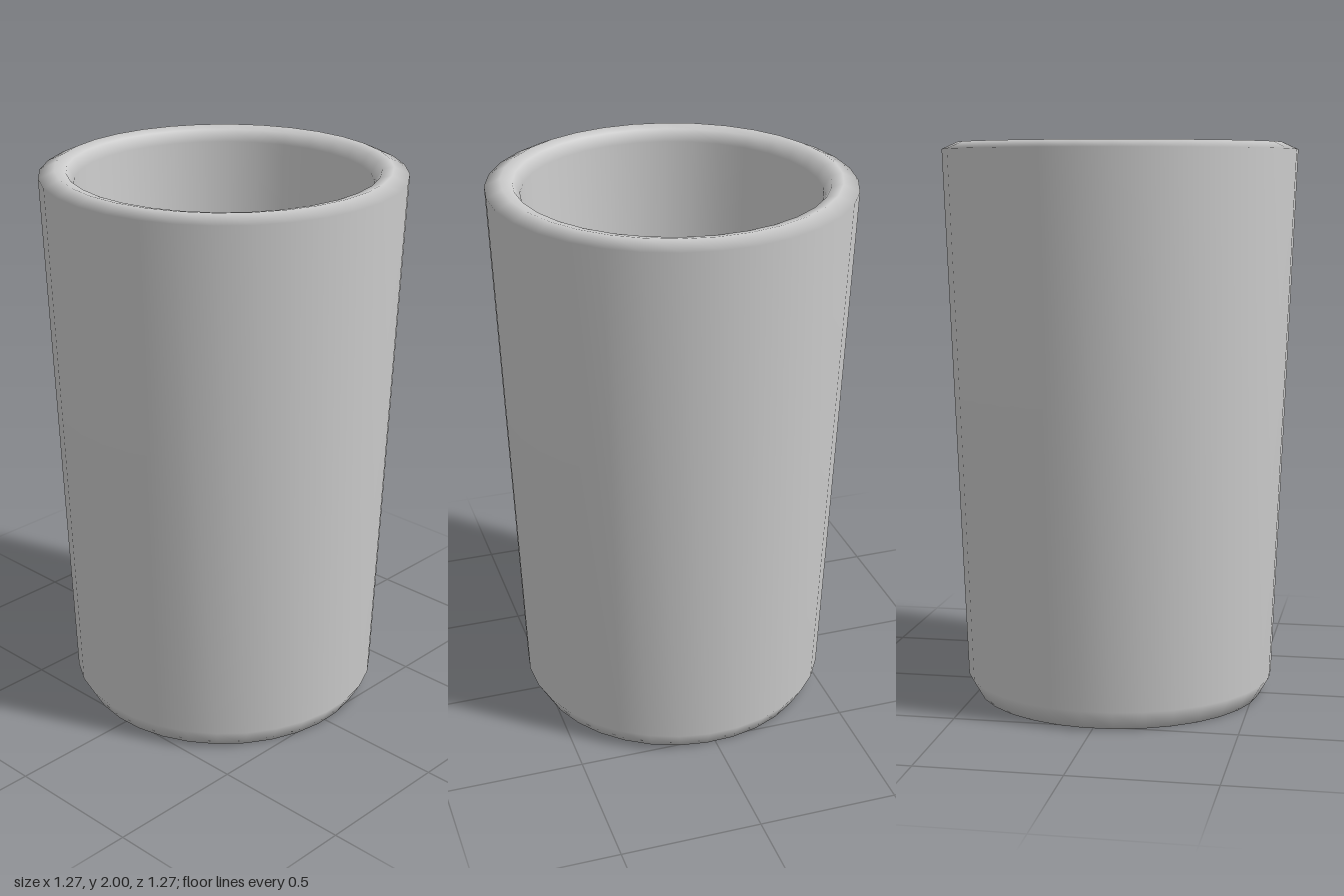
import * as THREE from 'three';

export function createModel() {
  const model = new THREE.Group();
  model.name = 'tumbler';

  // Closed wall profile: underside, outer wall, rolled rim, inner wall, floor
  const profile = [
    [0, 0], [0.52, 0], [0.56, 0.07],
    [0.635, 1.975], [0.58, 2], [0.54, 1.99], [0.515, 1.95],
    [0.46, 0.19], [0.42, 0.12], [0, 0.12],
  ].map(([r, y]) => new THREE.Vector2(r, y));

  const cup = new THREE.Mesh(
    new THREE.LatheGeometry(profile, 32, THREE.MathUtils.degToRad(7.6)),
    new THREE.MeshStandardMaterial({ color: 0xcccccc })
  );
  cup.name = 'cup';
  model.add(cup);
  return model;
}
